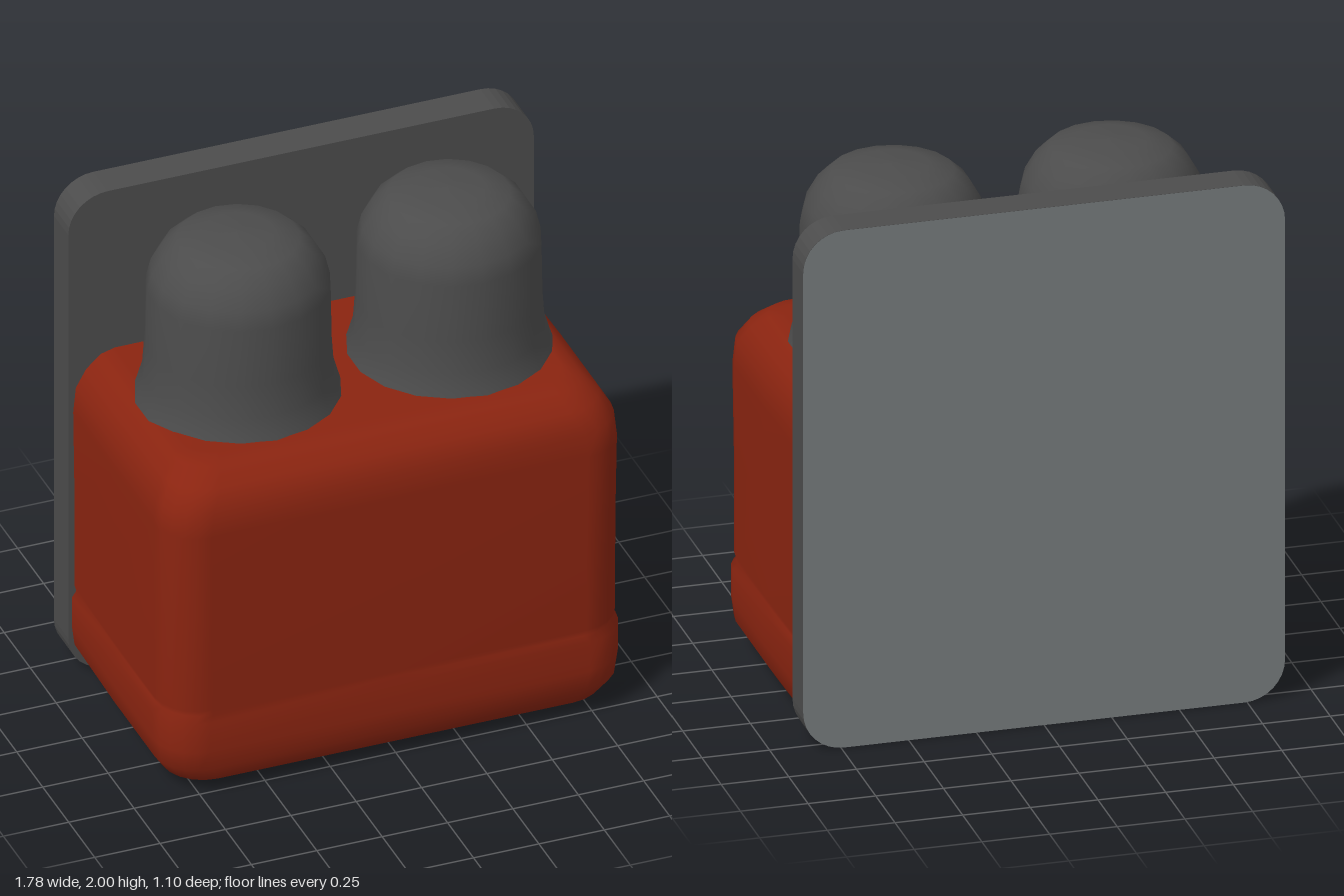
import * as THREE from 'three';

const red = new THREE.MeshStandardMaterial({ color: 0x8a2410 });
red.name = 'brick red';
const dark = new THREE.MeshStandardMaterial({ color: 0x4c4c4c });
dark.name = 'charcoal';
const pale = new THREE.MeshStandardMaterial({ color: 0x74797b });
pale.name = 'slate grey';

const BACK = -0.41;

function add(parent, name, geometry, material) {
  const mesh = new THREE.Mesh(geometry, material);
  mesh.name = name;
  parent.add(mesh);
  return mesh;
}

// Horizontal outline of the body: flat at the back, rounded front corners
function outline(half, front, r) {
  const pts = [[half * 0.99, BACK], [half, 0]];
  const steps = 5;
  for (let i = 0; i <= steps; i++) {
    const a = (i / steps) * Math.PI / 2;
    pts.push([half - r + r * Math.cos(a), front - r + r * Math.sin(a)]);
  }
  const mirrored = pts.slice().reverse().map(([x, z]) => [-x, z]);
  return [...pts, [0, front], ...mirrored];
}

// Body lofted upwards through layers of [y, half width, front z, corner radius]
function bodyGeometry() {
  const layers = [
    [0.01, 0.02, BACK + 0.02, 0.01], [0.01, 0.66, 0.34, 0.1], [0.01, 0.76, 0.43, 0.13],
    [0.05, 0.83, 0.50, 0.15], [0.12, 0.875, 0.54, 0.16], [0.2, 0.885, 0.545, 0.16],
    [0.32, 0.885, 0.545, 0.16], [0.345, 0.868, 0.533, 0.16], [0.37, 0.875, 0.54, 0.16],
    [0.75, 0.875, 0.542, 0.16], [1.1, 0.88, 0.545, 0.16], [1.2, 0.87, 0.54, 0.16],
    [1.27, 0.83, 0.50, 0.16], [1.32, 0.775, 0.43, 0.13], [1.335, 0.72, 0.36, 0.1],
    [1.337, 0.02, BACK + 0.02, 0.01],
  ];
  const pos = [], index = [];
  let n = 0;
  layers.forEach(([y, half, front, r], j) => {
    const ring = outline(half, front, r);
    n = ring.length;
    ring.forEach(([x, z]) => pos.push(x, y, Math.min(z, front)));
    if (j === 0) return;
    for (let i = 0; i < n - 1; i++) {
      const a = (j - 1) * n + i, c = j * n + i;
      index.push(a, c, a + 1, a + 1, c, c + 1);
    }
  });
  const g = new THREE.BufferGeometry();
  g.setAttribute('position', new THREE.Float32BufferAttribute(pos, 3));
  g.setIndex(index);
  g.computeVertexNormals();
  return g;
}

// Upright panel outline with rounded corners
function panelShape(w, h, r) {
  const s = new THREE.Shape();
  s.absarc(w - r, h - r, r, 0, Math.PI / 2);
  s.absarc(r - w, h - r, r, Math.PI / 2, Math.PI);
  s.absarc(r - w, r, r, Math.PI, Math.PI * 1.5);
  s.absarc(w - r, r, r, Math.PI * 1.5, Math.PI * 2);
  return s;
}

export function createModel() {
  const model = new THREE.Group();
  model.name = 'twinDomeBox';

  add(model, 'body', bodyGeometry(), red);

  // Back panel with a paler rear face
  const shape = panelShape(0.89, 2, 0.15);
  const panel = add(model, 'backPanel',
    new THREE.ExtrudeGeometry(shape, { depth: 0.138, bevelEnabled: false, curveSegments: 4 }), dark);
  panel.position.z = -0.548;
  const rear = add(model, 'rearFace', new THREE.ShapeGeometry(shape, 4), pale);
  rear.rotation.y = Math.PI;
  rear.position.z = -0.55;

  // Two domed caps with a flared foot
  const profile = [
    [0.375, 1.32], [0.365, 1.35], [0.345, 1.42], [0.336, 1.55], [0.332, 1.78],
    [0.315, 1.85], [0.275, 1.92], [0.22, 1.97], [0.13, 1.993], [0, 2],
  ].map(([x, y]) => new THREE.Vector2(x, y));
  for (const side of [-1, 1]) {
    const dome = add(model, side > 0 ? 'leftDome' : 'rightDome', new THREE.LatheGeometry(profile, 18), dark);
    dome.position.x = side * 0.403;
  }
  return model;
}
